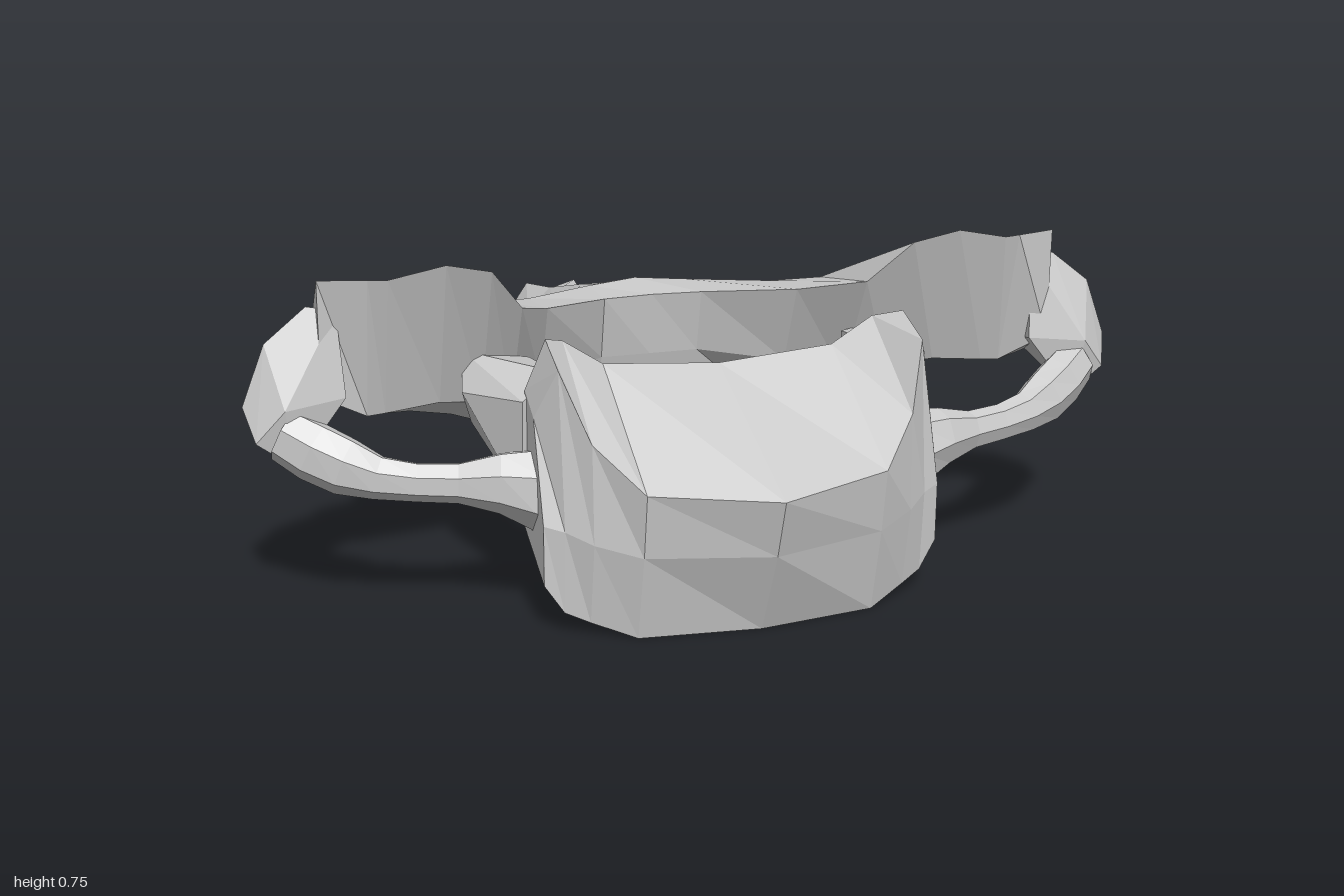
import * as THREE from 'three';
import { ConvexGeometry } from 'three/addons/geometries/ConvexGeometry.js';

const bone = new THREE.MeshStandardMaterial({ color: 0xcccccc, flatShading: true, roughness: 0.8 });

// Skin a row of closed cross-sections (arrays of Vector3), capped at both ends
function loft(sections) {
  const n = sections[0].length;
  const last = sections.length - 1;
  const pos = sections.flat().flatMap((p) => [p.x, p.y, p.z]);
  const index = [];
  for (let s = 0; s < last; s++) {
    for (let i = 0; i < n; i++) {
      const a = s * n + i, b = s * n + (i + 1) % n;
      index.push(a, b, b + n, a, b + n, a + n);
    }
  }
  for (const s of [0, last]) {
    const c = new THREE.Vector3();
    sections[s].forEach((p) => c.addScaledVector(p, 1 / n));
    const centre = pos.length / 3;
    pos.push(c.x, c.y, c.z);
    for (let i = 0; i < n; i++) {
      const a = s * n + i, b = s * n + (i + 1) % n;
      if (s === 0) index.push(centre, b, a);
      else index.push(centre, a, b);
    }
  }
  // Make the faces point outwards, whichever way the sections wind
  const v = (i) => new THREE.Vector3().fromArray(pos, i * 3);
  let volume = 0;
  for (let i = 0; i < index.length; i += 3) {
    volume += v(index[i]).dot(v(index[i + 1]).cross(v(index[i + 2])));
  }
  if (volume < 0) index.reverse();
  const g = new THREE.BufferGeometry();
  g.setAttribute('position', new THREE.Float32BufferAttribute(pos, 3));
  g.setIndex(index);
  const flat = g.toNonIndexed();
  flat.computeVertexNormals();
  return flat;
}

// Half profile stations [x, [z, y], ...] mirrored into a loft running from -x to +x
function mirroredLoft(half) {
  const at = (side) => ([x, ...pts]) => pts.map(([z, y]) => new THREE.Vector3(side * x, y, z));
  return loft([...half.slice(1).reverse().map(at(-1)), ...half.map(at(1))]);
}

// Tapering tube with an oval section along a curve: [x, y, z, radius]
function bar(points) {
  const curve = new THREE.CatmullRomCurve3(points.map(([x, y, z]) => new THREE.Vector3(x, y, z)));
  const steps = 8;
  const sections = [];
  for (let i = 0; i <= steps; i++) {
    const f = i / steps * (points.length - 1);
    const k = Math.min(Math.floor(f), points.length - 2);
    const r = THREE.MathUtils.lerp(points[k][3], points[k + 1][3], f - k);
    const p = curve.getPoint(i / steps);
    const t = curve.getTangent(i / steps);
    const out = new THREE.Vector3(-t.z, 0, t.x).normalize();
    const up = new THREE.Vector3().crossVectors(t, out);
    const ring = [];
    for (let a = 0; a < 7; a++) {
      const angle = a / 7 * Math.PI * 2;
      ring.push(p.clone().addScaledVector(out, Math.cos(angle) * r * 0.8).addScaledVector(up, Math.sin(angle) * r));
    }
    sections.push(ring);
  }
  return loft(sections);
}

const hull = (side, pts) => new ConvexGeometry(pts.map(([x, y, z]) => new THREE.Vector3(side * x, y, z)));

export function createModel() {
  const group = new THREE.Group();
  const add = (name, geometry) => {
    const mesh = new THREE.Mesh(geometry, bone);
    mesh.name = name;
    group.add(mesh);
  };

  // Body: slanted block with a saddle-shaped top and raised side lips
  add('vertebralBody', mirroredLoft([
    [0, [0.97, 0.33], [0.93, 0.2], [0.85, 0.01], [0.43, 0.18], [0.5, 0.36], [0.57, 0.51]],
    [0.26, [0.88, 0.34], [0.86, 0.2], [0.82, 0.01], [0.43, 0.18], [0.49, 0.36], [0.57, 0.53]],
    [0.35, [0.8, 0.43], [0.81, 0.22], [0.78, 0.04], [0.47, 0.19], [0.5, 0.36], [0.58, 0.59]],
    [0.4, [0.73, 0.57], [0.77, 0.24], [0.76, 0.06], [0.49, 0.2], [0.52, 0.36], [0.63, 0.61]],
    [0.44, [0.68, 0.46], [0.75, 0.25], [0.75, 0.12], [0.53, 0.22], [0.55, 0.34], [0.61, 0.5]],
  ]));

  // Arch: lamina in the middle, widening into the slanted articular plates
  add('archAndArticularProcesses', mirroredLoft([
    [0, [0.1, 0.55], [0.08, 0.4], [0.04, 0.24], [-0.08, 0.25], [-0.04, 0.56]],
    [0.12, [0.11, 0.55], [0.08, 0.4], [0.04, 0.24], [-0.1, 0.26], [-0.03, 0.55]],
    [0.3, [0.27, 0.58], [0.2, 0.39], [0.04, 0.24], [-0.04, 0.31], [0.09, 0.56]],
    [0.4, [0.44, 0.63], [0.32, 0.38], [0.03, 0.25], [0, 0.34], [0.17, 0.58]],
    [0.48, [0.51, 0.73], [0.38, 0.41], [0.04, 0.28], [0.01, 0.36], [0.2, 0.58]],
    [0.58, [0.53, 0.755], [0.42, 0.43], [0.05, 0.3], [0.02, 0.38], [0.21, 0.57]],
    [0.7, [0.52, 0.73], [0.43, 0.42], [0.1, 0.35], [0.05, 0.39], [0.27, 0.56]],
    [0.74, [0.51, 0.73], [0.44, 0.42], [0.3, 0.41], [0.28, 0.46], [0.3, 0.58]],
    [0.84, [0.48, 0.73], [0.48, 0.48], [0.4, 0.43], [0.35, 0.49], [0.37, 0.61]],
  ]));

  // Spine: z, half width, ridge half width, top, shoulder, bottom; right half mirrored
  const spine = [
    [0.06, 0.36, 0.1, 0.54, 0.4, 0.26], [-0.14, 0.26, 0.03, 0.53, 0.36, 0.24],
    [-0.28, 0.2, 0.025, 0.49, 0.34, 0.235], [-0.43, 0.145, 0.025, 0.455, 0.31, 0.22],
    [-0.7, 0.14, 0.04, 0.385, 0.24, 0.14], [-0.85, 0.13, 0.07, 0.365, 0.21, 0.1],
    [-0.91, 0.125, 0.09, 0.29, 0.18, 0.09], [-0.965, 0.1, 0.08, 0.17, 0.14, 0.1],
  ];
  add('spinousProcess', loft(spine.map(([z, w, r, top, mid, low]) => {
    const half = [
      [r, top], [(w + r) * 0.58, (top + mid) / 2 + 0.01], [w, mid], [w * 0.85, low + 0.03], [w * 0.45, low],
    ];
    const other = half.map(([x, y]) => [-x, y]).reverse();
    const notch = z < -0.8 ? 0.02 : 0;
    return [[0, top - notch], ...half, [0, low + 0.03], ...other].map(([x, y]) => new THREE.Vector3(x, y, z));
  })));

  for (const [label, side] of [['left', 1], ['right', -1]]) {
    // Pedicle joining the body to the articular plate
    add(label + 'Pedicle', hull(side, [
      [0.37, 0.5, 0.37], [0.52, 0.53, 0.38], [0.37, 0.33, 0.4], [0.5, 0.36, 0.36],
      [0.54, 0.46, 0.46], [0.37, 0.53, 0.6], [0.45, 0.48, 0.63], [0.45, 0.26, 0.62],
    ]));
    // Front bar of the side opening, root flaring out of the body
    add(label + 'TransverseBar', bar([
      [side * 0.36, 0.28, 0.65, 0.11], [side * 0.47, 0.31, 0.64, 0.075], [side * 0.6, 0.315, 0.61, 0.04],
      [side * 0.73, 0.325, 0.575, 0.045], [side * 0.83, 0.36, 0.53, 0.07], [side * 0.92, 0.41, 0.48, 0.06],
    ]));
    // Outer end of the transverse process
    add(label + 'TransverseTip', hull(side, [
      [0.8, 0.66, 0.46], [0.86, 0.67, 0.45], [0.95, 0.6, 0.46], [1, 0.47, 0.46], [0.98, 0.4, 0.5],
      [0.9, 0.34, 0.5], [0.79, 0.48, 0.49], [0.8, 0.46, 0.38], [0.86, 0.55, 0.37], [0.97, 0.48, 0.42],
      [0.9, 0.4, 0.43], [0.92, 0.47, 0.52],
    ]));
  }
  return group;
}
